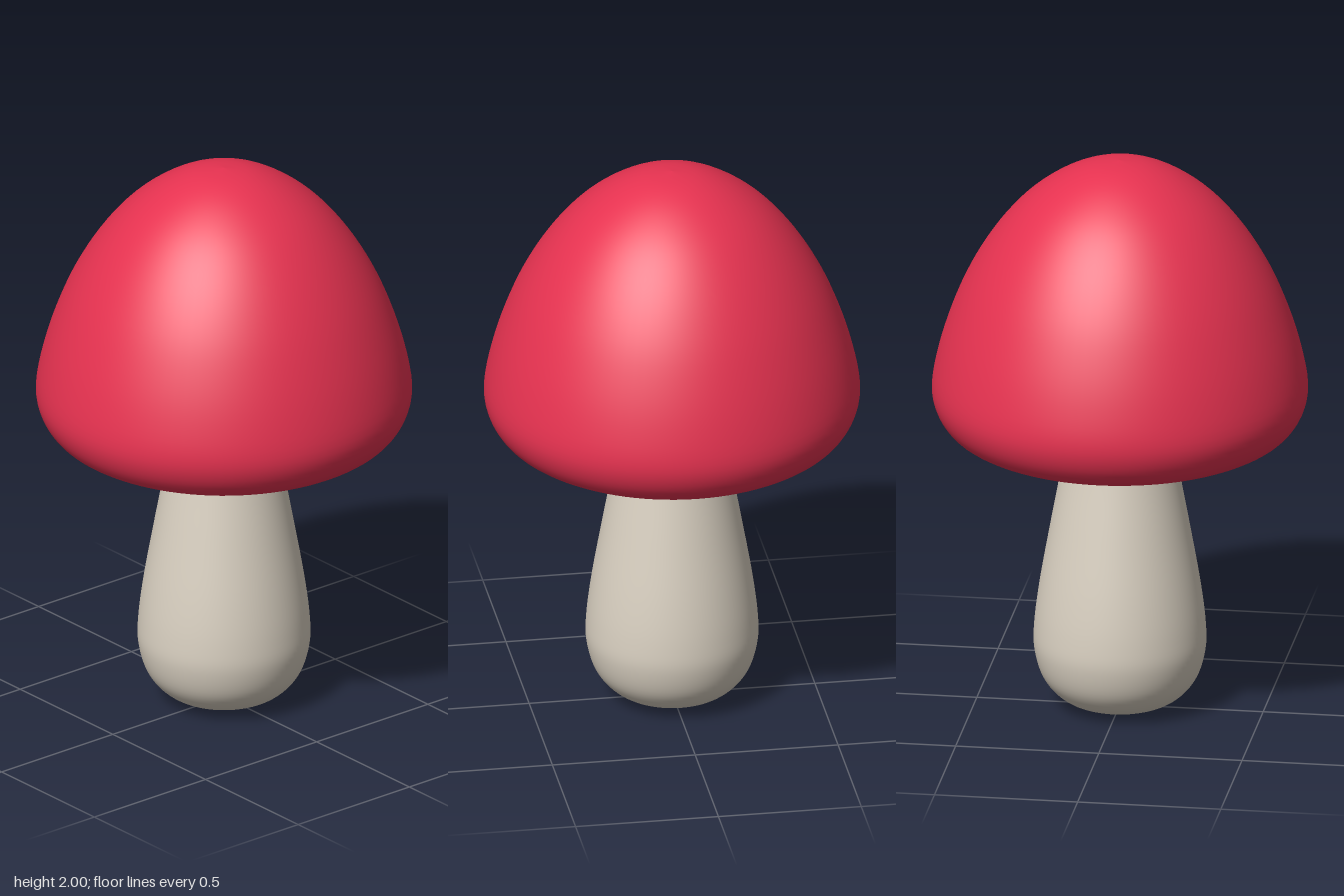
import * as THREE from 'three';

// Smooth solid of revolution through [radius, height] points, listed from bottom to top
function turned(name, color, profile) {
  const curve = new THREE.SplineCurve(profile.map(([r, y]) => new THREE.Vector2(r, y)));
  const points = curve.getPoints(64);
  points.forEach((p) => { p.x = Math.max(p.x, 0); });
  const material = new THREE.MeshStandardMaterial({ color });
  const mesh = new THREE.Mesh(new THREE.LatheGeometry(points, 96), material);
  mesh.name = name;
  return mesh;
}

export function createModel() {
  const model = new THREE.Group();
  model.name = 'mushroom';

  // Stem: rounded bulbous foot tapering up into the cap
  model.add(turned('stem', 0xd8cfc0, [
    [0, 0], [0.11, 0.008], [0.2, 0.04], [0.265, 0.11], [0.296, 0.21], [0.296, 0.31],
    [0.277, 0.46], [0.24, 0.67], [0.205, 0.86], [0.185, 0.98], [0.175, 1.06], [0.17, 1.12],
  ]));

  // Cap: hollowed underside, rolled rim, tall dome
  model.add(turned('cap', 0xe63250, [
    [0, 1.06], [0.18, 1.05], [0.3, 1.03], [0.4, 1.0], [0.47, 0.985], [0.53, 0.995],
    [0.595, 1.035], [0.637, 1.1], [0.65, 1.18], [0.629, 1.3], [0.59, 1.43], [0.535, 1.565],
    [0.465, 1.69], [0.385, 1.797], [0.3, 1.88], [0.2, 1.947], [0.1, 1.987], [0, 2],
  ]));

  return model;
}
